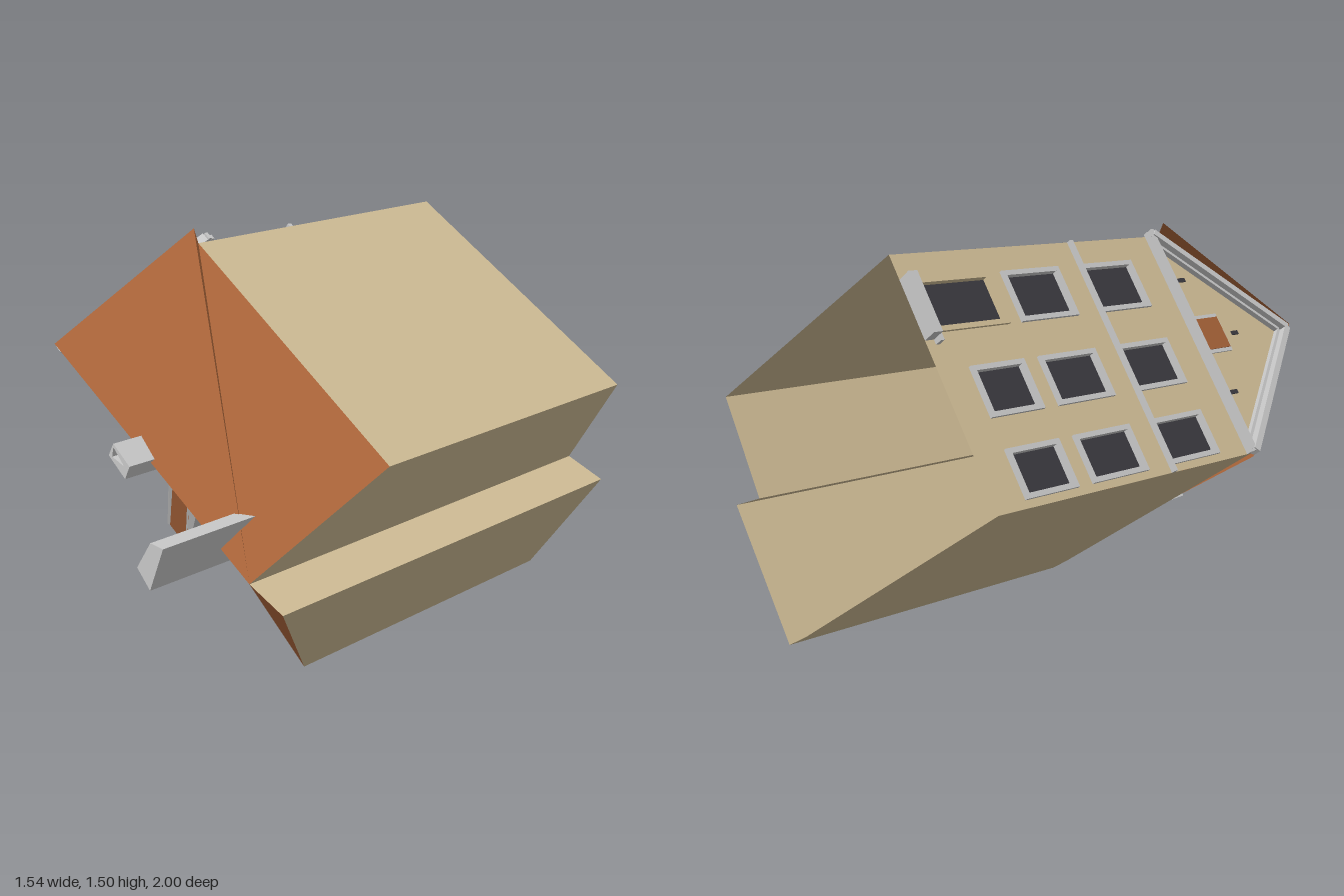
import * as THREE from 'three';
import { ConvexGeometry } from 'three/addons/geometries/ConvexGeometry.js';

const V = (x, y, z) => new THREE.Vector3(x, y, z);

function material(name, color) {
  const m = new THREE.MeshStandardMaterial({ color, side: THREE.DoubleSide });
  m.name = name;
  return m;
}

// Flat polygon(s) fanned from the first corner
function panel(name, mat, ...polygons) {
  const pos = [];
  for (const p of polygons)
    for (let i = 1; i < p.length - 1; i++) pos.push(...p[0], ...p[i], ...p[i + 1]);
  const g = new THREE.BufferGeometry();
  g.setAttribute('position', new THREE.Float32BufferAttribute(pos, 3));
  g.computeVertexNormals();
  const mesh = new THREE.Mesh(g, mat);
  mesh.name = name;
  return mesh;
}

function part(name, geometry, mat) {
  const mesh = new THREE.Mesh(geometry, mat);
  mesh.name = name;
  return mesh;
}

const rect = (T, x0, y0, x1, y1) =>
  new T([[x0, y0], [x1, y0], [x1, y1], [x0, y1]].map(p => new THREE.Vector2(...p)));

function block(name, mat, x0, x1, y0, y1, z0, z1) {
  const g = new THREE.BoxGeometry(x1 - x0, y1 - y0, z1 - z0);
  g.translate((x0 + x1) / 2, (y0 + y1) / 2, (z0 + z1) / 2);
  return part(name, g, mat);
}

// Straight board between two points of the facade plane
function board(name, mat, a, b, width, z0, z1) {
  const dx = b[0] - a[0], dy = b[1] - a[1];
  const mesh = part(name, new THREE.BoxGeometry(Math.hypot(dx, dy), width, z1 - z0), mat);
  mesh.position.set((a[0] + b[0]) / 2, (a[1] + b[1]) / 2, (z0 + z1) / 2);
  mesh.rotation.z = Math.atan2(dy, dx);
  return mesh;
}

export function createModel() {
  const house = new THREE.Group();
  house.name = 'house';
  const wall = material('sandWall', 0xcfbc95);
  const tile = material('roofTile', 0xa66238);
  const trim = material('greyTrim', 0xc8c8c8);
  const dark = material('darkGlass', 0x3a393f);

  // Side and rear walls: footprint corners with the height of each wall end
  const walls = [
    [[-0.25, 1.45, 0.25], [0.76, 0.87, 0.29]],
    [[0.76, 0.87, 0.29], [0.56, 0.52, 0.73]],
    [[0.56, 0.52, 0.73], [0.72, 0.465, 0.73]],
    [[0.72, 0.465, 0.73], [0.40, 0, 0.33]],
    [[0.40, 0, 0.33], [0.29, 0.06, 0.30]],
    [[0.29, 0.06, 0.30], [-0.75, 0.71, 0.2]],
  ];
  walls.forEach(([a, b], i) => house.add(
    panel('wall' + (i + 1), wall, [a, [a[0], a[1], -1], [b[0], b[1], -1], b])));

  // Roof slopes
  const ridge = [-0.515, 1.105, 0.72], rear = [0.56, 0.52, 0.73], mid = [-0.2, 0.375, 0.25];
  house.add(panel('upperRoof', tile,
    [rear, [0.76, 0.87, 0.29], [-0.25, 1.45, 0.25], [-0.28, 1.5, 0.245], ridge]));
  house.add(panel('lowerRoof', tile,
    [rear, ridge, [-0.76, 0.75, 0.24], [-0.76, 0.70, 0.2], mid],
    [rear, mid, [0.29, 0.06, 0.30], [0.40, 0, 0.33], [0.72, 0.465, 0.73]]));

  // Facade group: local x runs along the facade, local y is the height, local z points outward
  const facade = new THREE.Group();
  facade.name = 'facade';
  const along = V(-0.5, -0.74, 0).normalize(), up = V(0, 0, 1);
  const out = along.clone().cross(up);
  const basis = new THREE.Matrix4().makeBasis(along, up, out).setPosition(-0.5, 1.08, 0);
  basis.decompose(facade.position, facade.quaternion, facade.scale);
  house.add(facade);
  const lx = x => -(x + 0.5) / 0.56;
  const half = 0.4465;

  const front = new THREE.Shape([[-half, -1], [half, -1], [half, 0.2], [0, 0.7], [-half, 0.2]]
    .map(p => new THREE.Vector2(...p)));

  // Windows: columns by rows, the last opening is the door
  const columns = [[-0.725, -0.65], [-0.57, -0.49], [-0.398, -0.312]];
  const rows = [[-0.205, 0.02], [-0.57, -0.345], [-0.86, -0.67]];
  columns.forEach(([a, b], c) => rows.forEach(([z0, z1], r) => {
    const isDoor = c === 2 && r === 2;
    if (isDoor) [z0, z1] = [-0.955, -0.66];
    const x0 = lx(b), x1 = lx(a), m = 0.018;
    front.holes.push(rect(THREE.Path, x0, z0, x1, z1));
    const ring = rect(THREE.Shape, x0 - m, z0 - (isDoor ? 0 : m), x1 + m, z1 + m);
    ring.holes.push(rect(THREE.Path, x0, z0 + 0.001, x1, z1));
    const g = new THREE.ExtrudeGeometry(ring, { depth: 0.03, bevelEnabled: false });
    g.translate(0, 0, -0.02);
    const name = isDoor ? 'door' : 'window';
    facade.add(part(name + 'Frame', g, isDoor ? wall : trim));
    facade.add(block(name + 'Pane', dark, x0, x1, z0, z1, -0.018, -0.01));
  }));
  facade.add(part('facadeWall', new THREE.ShapeGeometry(front), wall));

  // Doorstep, string course, cornice and verge boards
  facade.add(block('doorstep', trim, lx(-0.3), lx(-0.42), -1, -0.965, 0, 0.055));
  facade.add(block('doorstepLower', trim, lx(-0.32), lx(-0.43), -0.965, -0.95, 0, 0.03));
  facade.add(block('stringCourse', trim, -half, half, -0.225, -0.208, 0, 0.015));
  facade.add(block('corniceLower', trim, -half - 0.01, half, 0.178, 0.19, 0, 0.02));
  facade.add(block('corniceUpper', trim, -half - 0.015, half, 0.192, 0.206, 0, 0.03));
  for (const s of [-1, 1]) {
    facade.add(board('vergeBoard', trim, [s * half, 0.2], [0, 0.695], 0.025, 0, 0.035));
    facade.add(board('vergeMoulding', trim, [s * (half - 0.04), 0.2], [0, 0.655], 0.012, 0, 0.02));
  }

  // Gable hatch and slits
  facade.add(block('hatchFrame', trim, lx(-0.442), lx(-0.528), 0.215, 0.355, 0, 0.006));
  facade.add(block('hatch', tile, lx(-0.45), lx(-0.52), 0.23, 0.35, 0.001, 0.009));
  for (const [x, z] of [[-0.617, 0.262], [-0.357, 0.262], [-0.49, 0.415]])
    facade.add(block('slit', dark, lx(x) - 0.008, lx(x) + 0.008, z - 0.018, z + 0.018, 0, 0.004));

  // Tall rear chimney
  const tall = new THREE.Shape([[0.32, 0.585], [0.385, 0.525], [0.46, 0.695], [0.395, 0.695]]
    .map(p => new THREE.Vector2(...p)));
  const tallGeo = new THREE.ExtrudeGeometry(tall, { depth: 0.45, bevelEnabled: false });
  tallGeo.translate(0, 0, 0.55);
  house.add(part('tallChimney', tallGeo, trim));

  // Short hollow ridge chimney
  const corners = [[-0.065, 0.82], [0.025, 0.757], [0.053, 0.81], [-0.035, 0.87]];
  const short = new THREE.Shape(corners.map(p => new THREE.Vector2(...p)));
  const flue = [[-0.045, 0.82], [0.022, 0.803], [-0.035, 0.857]];
  short.holes.push(new THREE.Path(flue.map(p => new THREE.Vector2(...p))));
  const shortGeo = new THREE.ExtrudeGeometry(short, { depth: 0.16, bevelEnabled: false });
  shortGeo.translate(0, 0, 0.66);
  house.add(part('ridgeChimney', shortGeo, trim));
  house.add(panel('flueBottom', dark, flue.map(([x, y]) => [x, y, 0.76])));

  // Dormer over the lower eave
  house.add(panel('dormerRoof', tile,
    [[-0.2, 0.41, 0.46], [-0.1, 0.35, 0.46], [0.03, 0.585, 0.55], [-0.06, 0.64, 0.55]]));
  house.add(panel('dormerFront', wall,
    [[-0.2, 0.41, 0.46], [-0.2, 0.38, 0.25], [-0.1, 0.31, 0.25], [-0.1, 0.35, 0.46]]));
  const cheeks = [
    [[-0.215, 0.41, 0.46], [-0.195, 0.41, 0.46], [-0.085, 0.635, 0.55], [-0.035, 0.648, 0.55], [-0.2, 0.39, 0.27]],
    [[-0.11, 0.355, 0.46], [-0.09, 0.35, 0.46], [0.02, 0.585, 0.55], [0.08, 0.592, 0.55], [-0.1, 0.33, 0.27]],
  ];
  for (const c of cheeks)
    house.add(part('dormerCheek', new ConvexGeometry(c.map(p => V(...p))), trim));

  return house;
}
